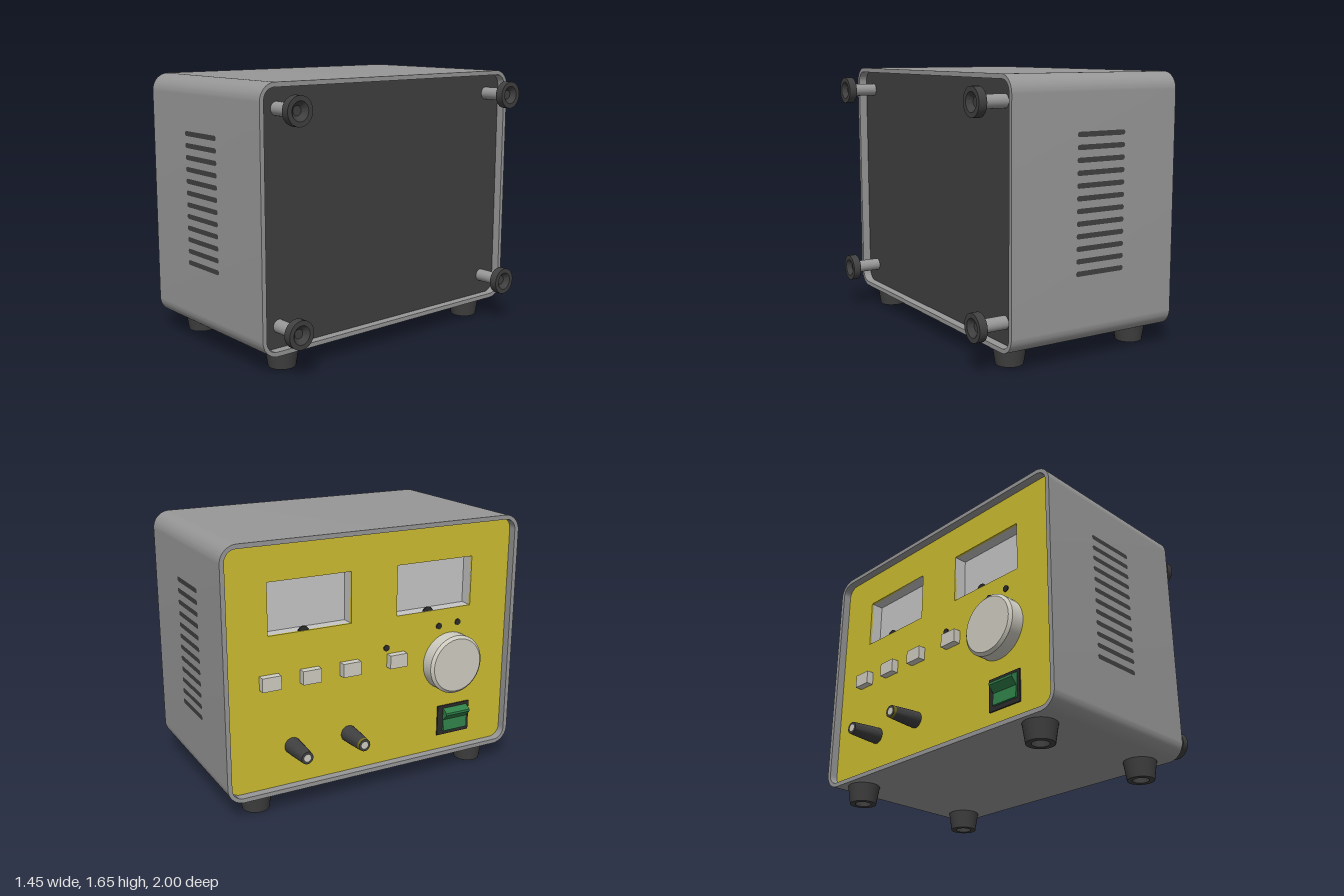
import * as THREE from 'three';
import { toCreasedNormals } from 'three/addons/utils/BufferGeometryUtils.js';

const material = (name, color) => {
  const m = new THREE.MeshStandardMaterial({ color });
  m.name = name;
  return m;
};

// Rounded rectangle centred on (u, v)
function roundRect(target, u, v, w, h, r) {
  const a = u - w / 2, b = u + w / 2, c = v - h / 2, d = v + h / 2;
  target.moveTo(a + r, c);
  target.lineTo(b - r, c);
  target.absarc(b - r, c + r, r, -Math.PI / 2, 0);
  target.lineTo(b, d - r);
  target.absarc(b - r, d - r, r, 0, Math.PI / 2);
  target.lineTo(a + r, d);
  target.absarc(a + r, d - r, r, Math.PI / 2, Math.PI);
  target.lineTo(a, c + r);
  target.absarc(a + r, c + r, r, Math.PI, Math.PI * 1.5);
  return target;
}

const rect = (target, u, v, w, h) => {
  target.moveTo(u - w / 2, v - h / 2);
  target.lineTo(u + w / 2, v - h / 2);
  target.lineTo(u + w / 2, v + h / 2);
  target.lineTo(u - w / 2, v + h / 2);
  target.closePath();
  return target;
};

// Extrude a (-z, y) shape along x from x0 to x1
function extrudeX(shape, x0, x1) {
  const g = new THREE.ExtrudeGeometry(shape, { depth: x1 - x0, bevelEnabled: false, curveSegments: 12 });
  g.translate(0, 0, x0);
  g.rotateY(Math.PI / 2);
  return toCreasedNormals(g, 0.6);
}

// Turned part about y; profile runs from the bottom axis outward and up
const turned = (points, segments = 32) =>
  toCreasedNormals(new THREE.LatheGeometry(points.map(([r, y]) => new THREE.Vector2(r, y)), segments), 0.6);

export function createModel() {
  const model = new THREE.Group();
  model.name = 'benchPowerUnit';

  const grey = material('casing grey', 0x979797);
  const dark = material('dark plastic', 0x404040);
  const olive = material('olive panel', 0xcdbd30);
  const darkOlive = material('dark olive ring', 0x77701f);
  const cream = material('cream plastic', 0xcfcdc1);
  const pale = material('meter grey', 0xc6c6c6);
  const green = material('switch green', 0x2f8048);
  const black = material('black detail', 0x2c2c2c);

  const add = (name, geometry, mat, x = 0, y = 0, z = 0, parent = model) => {
    const mesh = new THREE.Mesh(geometry, mat);
    mesh.name = name;
    mesh.position.set(x, y, z);
    parent.add(mesh);
    return mesh;
  };

  // Casing: open rounded tube along x
  const midY = 0.885;
  const casing = roundRect(new THREE.Shape(), 0, midY, 2, 1.54, 0.105);
  casing.holes.push(roundRect(new THREE.Path(), 0, midY, 1.945, 1.485, 0.07));
  add('casing', extrudeX(casing, -0.577, 0.565), grey);

  // Dark end panel
  add('endPanel', extrudeX(roundRect(new THREE.Shape(), 0, midY, 1.95, 1.49, 0.072), 0.49, 0.512), dark);

  // Control panel with two meter openings
  const panelX = -0.525;
  const meters = [-0.435, 0.42], meterY = 1.25, meterW = 0.54, meterH = 0.315;
  const panel = roundRect(new THREE.Shape(), 0, midY, 1.95, 1.49, 0.072);
  for (const z of meters) panel.holes.push(rect(new THREE.Path(), -z, meterY, meterW, meterH));
  add('controlPanel', extrudeX(panel, panelX, panelX + 0.015), olive);

  // Recessed meters
  for (const z of meters) {
    const frame = rect(new THREE.Shape(), -z, meterY, meterW + 0.04, meterH + 0.04);
    frame.holes.push(rect(new THREE.Path(), -z, meterY, meterW, meterH));
    add('meterFrame', extrudeX(frame, panelX + 0.003, panelX + 0.09), pale);
    add('meterFace', new THREE.BoxGeometry(0.02, meterH + 0.04, meterW + 0.04), pale, panelX + 0.095, meterY, z);
    const pivot = new THREE.CylinderGeometry(0.035, 0.035, 0.01, 20).rotateZ(Math.PI / 2);
    add('meterPivot', pivot, black, panelX + 0.012, meterY - meterH / 2 - 0.008, z - 0.04);
  }

  // Push buttons
  for (const z of [-0.705, -0.445, -0.18, 0.145])
    add('pushButton', new THREE.BoxGeometry(0.05, 0.085, 0.12), cream, panelX - 0.022, 0.818, z);

  // Indicator dots
  for (const [y, z] of [[0.9, 0.08], [0.985, 0.46], [0.993, 0.6]])
    add('indicatorDot', new THREE.CylinderGeometry(0.02, 0.02, 0.008, 16).rotateZ(Math.PI / 2), black, panelX - 0.003, y, z);

  // Large dial with a chamfered rim
  const dial = turned([[0.19, 0], [0.19, 0.084], [0.172, 0.1], [0, 0.1]], 48).rotateZ(Math.PI / 2);
  add('dial', dial, cream, panelX, 0.743, 0.543);

  // Rocker switch: frame and lipped rocker
  const switchFrame = rect(new THREE.Shape(), -0.59, 0.342, 0.24, 0.2);
  add('switchFrame', extrudeX(switchFrame, panelX - 0.009, panelX), black);
  const rockerSide = new THREE.Shape([
    [0, -0.075], [0.022, -0.075], [0.014, 0], [0.05, 0.04], [0.05, 0.055], [0.012, 0.078], [0, 0.078],
  ].map(([d, v]) => new THREE.Vector2(-d, v)));
  const rocker = new THREE.ExtrudeGeometry(rockerSide, { depth: 0.18, bevelEnabled: false }).translate(0, 0, -0.09);
  add('switchRocker', rocker, green, panelX - 0.001, 0.345, 0.6);

  // Tapered terminals; one carries an olive ring
  for (const [z, ring] of [[-0.56, dark], [-0.18, darkOlive]]) {
    const group = new THREE.Group();
    group.name = 'terminal';
    group.position.set(0.004, 0.388, z);
    model.add(group);
    const side = (points) => turned(points, 28).rotateZ(Math.PI / 2);
    add('terminalBody', side([[0.052, 0.52], [0.05, 0.58], [0.04, 0.712]]), dark, 0, 0, 0, group);
    add('terminalRing', side([[0.04, 0.712], [0.038, 0.73]]), ring, 0, 0, 0, group);
    add('terminalEnd', side([[0.038, 0.73], [0.022, 0.73]]), dark, 0, 0, 0, group);
    add('terminalCore', side([[0.022, 0.73], [0, 0.73]]), cream, 0, 0, 0, group);
  }

  // Ventilation slots on both broad ends
  const slot = new THREE.ShapeGeometry(roundRect(new THREE.Shape(), 0, 0, 0.335, 0.03, 0.0149), 6);
  for (let i = 0; i < 12; i++) {
    const y = 0.528 + i * 0.0718;
    add('frontVent', slot, dark, -0.034, y, 1.002);
    add('backVent', slot, dark, -0.034, y, -1.002).rotation.y = Math.PI;
  }

  // Hollow feet and cable posts at the four corners
  const foot = turned([[0.05, 0.05], [0.05, 0], [0.083, 0], [0.102, 0.12]]);
  const footScrew = turned([[0, 0.045], [0.05, 0.045]]);
  const stem = new THREE.CylinderGeometry(0.04, 0.04, 0.18, 24).rotateZ(Math.PI / 2);
  const cap = turned([
    [0.03, 0.675], [0.085, 0.675], [0.085, 0.725], [0.056, 0.725], [0.028, 0.695], [0, 0.695],
  ]).rotateZ(-Math.PI / 2);
  for (const s of [-1, 1]) {
    for (const x of [-0.445, 0.434]) {
      add('foot', foot, dark, x, 0, s * 0.775);
      add('footScrew', footScrew, grey, x, 0, s * 0.775);
    }
    for (const y of [0.272, 1.507]) {
      add('postStem', stem, grey, 0.59, y, s * 0.85);
      add('postCap', cap, dark, 0, y, s * 0.85);
    }
  }

  return model;
}
